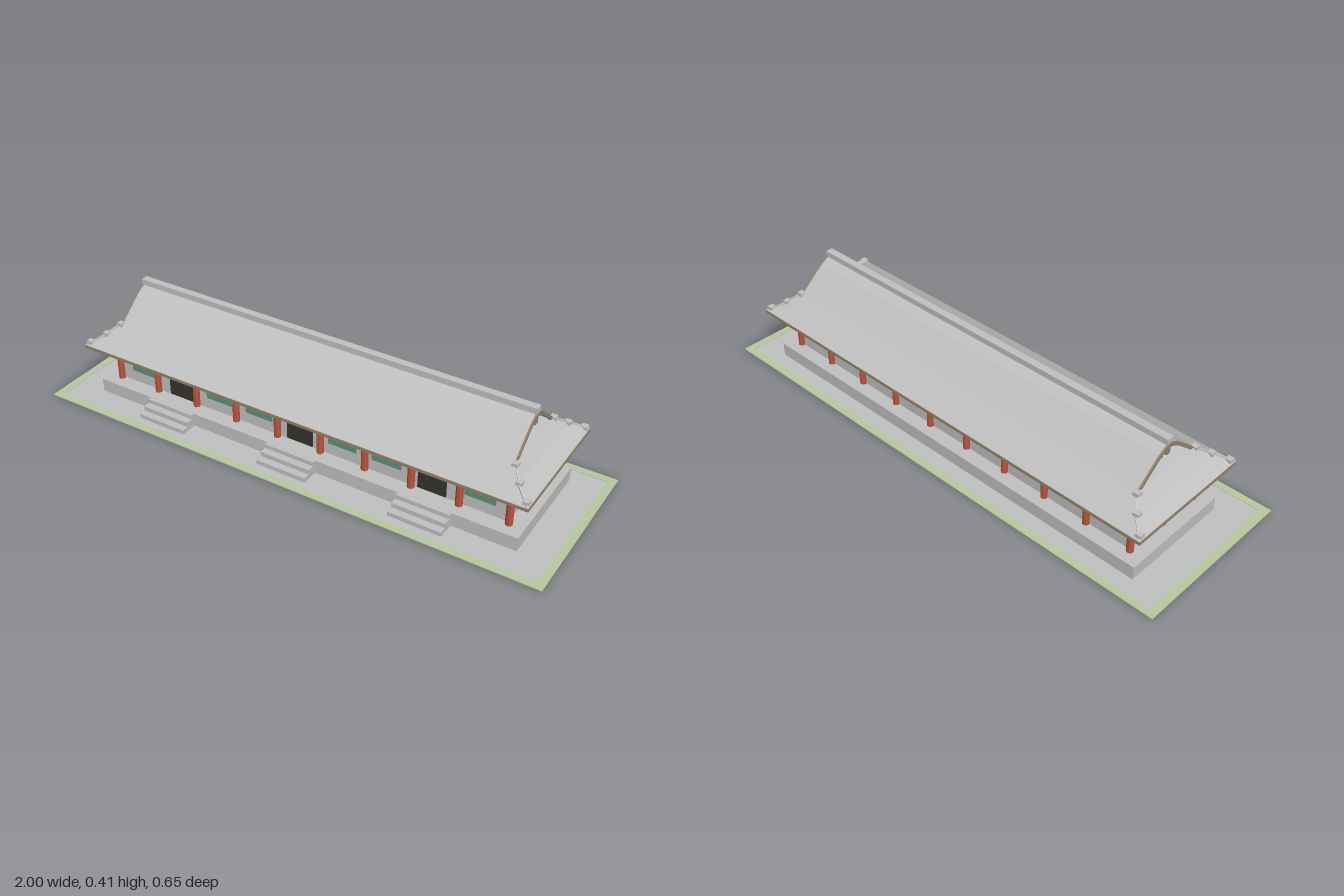
import * as THREE from 'three';

export function createModel() {
  const root = new THREE.Group();
  root.name = 'longHall';
  // The hall itself sits slightly behind the middle of its plot
  const hall = new THREE.Group();
  hall.name = 'hall';
  hall.position.z = -0.02;
  root.add(hall);

  const mat = (name, color) => {
    const m = new THREE.MeshStandardMaterial({ color, flatShading: true });
    m.name = name;
    return m;
  };
  const gray = mat('stoneGray', 0xc0c0c0);
  const grass = mat('paleGreen', 0xb8c8a0);
  const red = mat('columnRed', 0xb8553c);
  const brown = mat('timberBrown', 0x94826a);
  const green = mat('windowGreen', 0x5f9279);
  const dark = mat('doorDark', 0x36342c);

  const add = (name, geo, m, parent = hall) => {
    const mesh = new THREE.Mesh(geo, m);
    mesh.name = name;
    parent.add(mesh);
    return mesh;
  };
  // Box given by its minimum and maximum on each axis
  const box = (name, m, x0, x1, y0, y1, z0, z1, parent = hall) => {
    const mesh = add(name, new THREE.BoxGeometry(x1 - x0, y1 - y0, z1 - z0), m, parent);
    mesh.position.set((x0 + x1) / 2, (y0 + y1) / 2, (z0 + z1) / 2);
    return mesh;
  };
  // Shape drawn in (z, y), extruded along x from x0 to x1
  const alongX = (name, m, points, x0, x1) => {
    const shape = new THREE.Shape(points.map(([z, y]) => new THREE.Vector2(-z, y)));
    const geo = new THREE.ExtrudeGeometry(shape, { depth: x1 - x0, bevelEnabled: false });
    geo.rotateY(Math.PI / 2).translate(x0, 0, 0);
    return add(name, geo, m);
  };

  // Plot with a grass border
  box('ground', gray, -0.988, 0.988, 0, 0.002, -0.311, 0.311, root);
  for (const s of [-1, 1]) {
    box('grassBorderLong', grass, -1, 1, 0.0005, 0.004, s * 0.309 - 0.014, s * 0.309 + 0.014, root);
    box('grassBorderShort', grass, s * 0.985 - 0.015, s * 0.985 + 0.015, 0.0005, 0.004, -0.295, 0.295, root);
  }

  // Platform and three flights of steps
  box('platform', gray, -0.858, 0.858, 0.001, 0.054, -0.2165, 0.217);
  for (const x of [-0.524, 0, 0.524]) {
    alongX('steps', gray, [
      [0.217, 0.001], [0.284, 0.001], [0.284, 0.019], [0.257, 0.019],
      [0.257, 0.037], [0.23, 0.037], [0.23, 0.0535], [0.217, 0.0535],
    ], x - 0.1, x + 0.1);
  }

  // Walls
  box('walls', gray, -0.797, 0.797, 0.054, 0.201, -0.163, 0.157);

  // Doors and windows along the front
  for (let i = -4; i <= 4; i++) {
    const x = i * 0.1735;
    if (i % 3 === 0) box('door', dark, x - 0.053, x + 0.053, 0.058, 0.173, 0.154, 0.161);
    else box('window', green, x - 0.056, x + 0.056, 0.1, 0.171, 0.154, 0.161);
  }

  // Columns
  const columnGeo = new THREE.CylinderGeometry(0.013, 0.013, 0.147, 8).rotateY(Math.PI / 8);
  const column = (x, z) => add('column', columnGeo, red).position.set(x, 0.1275, z);
  for (let i = 0; i < 10; i++) {
    const x = (i - 4.5) * 0.1785;
    column(x, 0.167);
    column(x, -0.167);
  }
  column(0.803, 0);
  column(-0.803, 0);

  // Tie beams over the columns
  for (const s of [-1, 1]) {
    box('longTieBeam', red, -0.826, 0.826, 0.194, 0.2005, s * 0.167 - 0.008, s * 0.167 + 0.008);
    box('crossTieBeam', red, s * 0.803 - 0.008, s * 0.803 + 0.008, 0.194, 0.2005, -0.189, 0.189);
  }

  // Timber eave slab
  box('eave', brown, -0.893, 0.893, 0.2, 0.211, -0.2525, 0.2525);

  // Lower hipped roof: rectangular rings [halfX, halfZ, y] joined by quads
  const rings = [[0.89, 0.25, 0.211], [0.833, 0.197, 0.247], [0.797, 0.143, 0.284], [0.75, 0.11, 0.294]];
  const pos = [];
  const index = [];
  for (const [x, z, y] of rings) pos.push(-x, y, z, x, y, z, x, y, -z, -x, y, -z);
  for (let r = 0; r < rings.length - 1; r++) {
    for (let k = 0; k < 4; k++) {
      const a = r * 4 + k, b = r * 4 + (k + 1) % 4;
      index.push(a, b, b + 4, a, b + 4, a + 4);
    }
  }
  index.push(12, 13, 14, 12, 14, 15);
  let skirt = new THREE.BufferGeometry();
  skirt.setAttribute('position', new THREE.Float32BufferAttribute(pos, 3));
  skirt.setIndex(index);
  skirt = skirt.toNonIndexed();
  skirt.computeVertexNormals();
  add('lowerRoof', skirt, gray);

  // Upper curved gable roof and its bargeboards
  const half = [[0.143, 0.284], [0.1, 0.321], [0.075, 0.342], [0.047, 0.365], [0.022, 0.379]];
  const mirrorZ = (p) => p.map(([z, y]) => [-z, y]).reverse();
  const curve = [...half, [0, 0.389], ...mirrorZ(half)];
  const shell = (t) => [...curve, ...curve.map(([z, y]) => [z * (1 - t), y - t]).reverse()];
  alongX('upperRoof', gray, shell(0.011), -0.791, 0.791);
  alongX('bargeboard', brown, shell(0.015), 0.791, 0.797);
  alongX('bargeboard', brown, shell(0.015), -0.797, -0.791);
  box('ridge', gray, -0.797, 0.797, 0.386, 0.408, -0.014, 0.014);

  for (const s of [-1, 1]) {
    // Gable wall set back under the overhang
    alongX('gableWall', gray, [
      [0.092, 0.286], [0.092, 0.318], [0.07, 0.337], [0.045, 0.357], [0, 0.379],
      [-0.045, 0.357], [-0.07, 0.337], [-0.092, 0.318], [-0.092, 0.286],
    ], s * 0.745 - 0.006, s * 0.745 + 0.006);

    // Gable timberwork; d and e are distances out from the middle of the hall
    const gable = (name, m, d, e, y0, y1, z0, z1) =>
      box(name, m, Math.min(s * d, s * e), Math.max(s * d, s * e), y0, y1, z0, z1);
    for (const [z, top] of [[-0.044, 0.339], [-0.022, 0.353], [0, 0.37], [0.022, 0.353], [0.044, 0.339]]) {
      gable('gablePost', brown, 0.75, 0.76, 0.286, top, z - 0.0035, z + 0.0035);
    }
    gable('gableBeam', brown, 0.75, 0.763, 0.318, 0.327, -0.044, 0.044);
    for (const z of [-0.049, 0.049]) {
      gable('beamEnd', grass, 0.75, 0.768, 0.319, 0.331, z - 0.007, z + 0.007);
    }
    alongX('gablePanel', grass, [[0, 0.377], [0.016, 0.368], [0.016, 0.353], [0, 0.344], [-0.016, 0.353], [-0.016, 0.368]],
      s * 0.769 - 0.006, s * 0.769 + 0.006);
    gable('gablePendant', brown, 0.775, 0.794, 0.342, 0.375, -0.009, 0.009);

    // Stepped blocks down each hip
    for (const t of [-1, 1]) {
      for (const [x, z, y] of [[0.878, 0.234, 0.222], [0.833, 0.192, 0.25], [0.797, 0.149, 0.281]]) {
        box('hipBlock', gray, s * x - 0.011, s * x + 0.011, y - 0.0065, y + 0.0065, t * z - 0.011, t * z + 0.011);
      }
      // Slim ridge following the hip between the blocks
      for (let i = 0; i < 2; i++) {
        const a = new THREE.Vector3(s * rings[i][0], rings[i][2], t * rings[i][1]);
        const b = new THREE.Vector3(s * rings[i + 1][0], rings[i + 1][2], t * rings[i + 1][1]);
        const bar = add('hipRidge', new THREE.BoxGeometry(0.008, 0.006, a.distanceTo(b)), gray);
        bar.position.copy(a).add(b).multiplyScalar(0.5);
        bar.lookAt(b.clone().add(hall.position));
      }
    }
  }
  return root;
}
